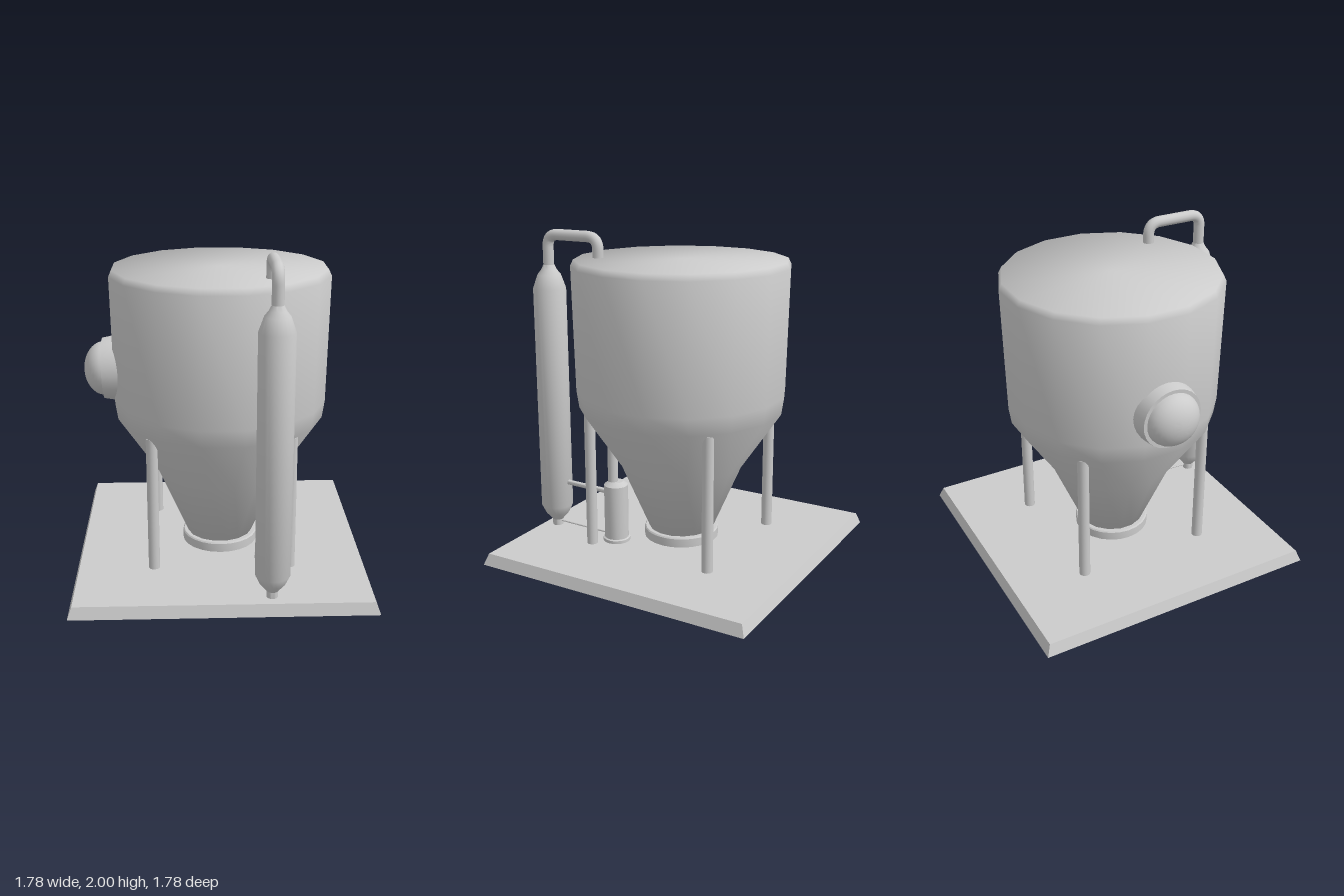
import * as THREE from 'three';
import { toCreasedNormals } from 'three/addons/utils/BufferGeometryUtils.js';

const mat = new THREE.MeshStandardMaterial({ color: 0xcccccc });
const sheetMat = new THREE.MeshStandardMaterial({ color: 0xcccccc, side: THREE.DoubleSide });

export function createModel() {
  const group = new THREE.Group();

  const add = (name, geo, x = 0, y = 0, z = 0, crease = 0.6, material = mat) => {
    const mesh = new THREE.Mesh(toCreasedNormals(geo, crease), material);
    mesh.name = name;
    mesh.position.set(x, y, z);
    group.add(mesh);
    return mesh;
  };
  // Profile is [radius, height] pairs from bottom to top
  const lathe = (profile, sides) =>
    new THREE.LatheGeometry(profile.map(([r, y]) => new THREE.Vector2(r, y)), sides);
  const rod = (name, r, from, to, sides = 16) => {
    const a = new THREE.Vector3(...from), b = new THREE.Vector3(...to);
    const mesh = add(name, new THREE.CylinderGeometry(r, r, a.distanceTo(b), sides));
    mesh.position.copy(a).add(b).multiplyScalar(0.5);
    mesh.quaternion.setFromUnitVectors(new THREE.Vector3(0, 1, 0), b.sub(a).normalize());
    return mesh;
  };

  // Square base: a thin tray, open underneath, with sloping edges
  const tray = lathe([[0.89 * Math.SQRT2, 0], [0.865 * Math.SQRT2, 0.07], [0, 0.07]], 4);
  tray.rotateY(Math.PI / 4);
  add('base', tray, 0, 0, 0, 0.3, sheetMat);

  // Sixteen-sided hopper; widths are measured across the flats
  const k = 1 / Math.cos(Math.PI / 16);
  const hopper = lathe([
    [0, 0.13], [0.2, 0.13], [0.38, 0.56], [0.62, 0.925], [0.635, 1.03],
    [0.65, 1.8], [0.632, 1.837], [0, 1.837],
  ].map(([r, y]) => [r * k, y]), 16);
  hopper.rotateY(Math.PI / 16);
  add('hopper', hopper, 0, 0, 0, 1.25);

  // Outlet collar under the hopper
  add('outletCollar', lathe([
    [0, 0.071], [0.235, 0.071], [0.235, 0.125], [0.228, 0.133], [0, 0.133],
  ], 24));

  // Four legs that run from just under the tray up into the cone
  for (const x of [-0.41, 0.41]) {
    for (const z of [-0.41, 0.41]) rod('leg', 0.034, [x, 0.062, z], [x, 0.908, z]);
  }

  // Tall filter column at the front
  const px = 0.277, pz = 0.779;
  add('filterColumn', lathe([
    [0, 0.071], [0.034, 0.071], [0.034, 0.11], [0.076, 0.16], [0.102, 0.215],
    [0.102, 1.635], [0.072, 1.72], [0.048, 1.75], [0.034, 1.78], [0, 1.78],
  ], 24), px, 0, pz);

  // Pipe that rises from the column and turns down over the lid
  const top = 1.966, end = 0.411, bend = 0.075;
  const v = (y, z) => new THREE.Vector3(px, y, z);
  const path = new THREE.CurvePath();
  path.add(new THREE.LineCurve3(v(1.74, pz), v(top - bend, pz)));
  path.add(new THREE.QuadraticBezierCurve3(v(top - bend, pz), v(top, pz), v(top, pz - bend)));
  path.add(new THREE.LineCurve3(v(top, pz - bend), v(top, end + bend)));
  path.add(new THREE.QuadraticBezierCurve3(v(top, end + bend), v(top, end), v(top - bend, end)));
  path.add(new THREE.LineCurve3(v(top - bend, end), v(1.846, end)));
  add('overheadPipe', new THREE.TubeGeometry(path, 60, 0.034, 14));
  const cap = new THREE.CircleGeometry(0.034, 14);
  cap.rotateX(Math.PI / 2);
  add('pipeEnd', cap, px, 1.846, end);

  // Small pump with a foot flange and an outlet into the cone
  const pumpX = 0.29, pumpZ = 0.306;
  add('pump', lathe([
    [0, 0.071], [0.085, 0.071], [0.085, 0.09], [0.075, 0.095],
    [0.075, 0.44], [0.045, 0.463], [0, 0.463],
  ], 20), pumpX, 0, pumpZ);
  rod('pumpOutlet', 0.032, [0.298, 0.44, 0.322], [0.298, 0.73, 0.322]);

  // Cross pipes between column and pump
  rod('crossPipe', 0.016, [px, 0.38, pz], [pumpX, 0.38, pumpZ], 12);
  rod('drainPipe', 0.006, [px, 0.1, pz], [pumpX, 0.1, pumpZ], 8);

  // Domed hatch on the hopper's right side, tilted with the wall
  const hatch = new THREE.Group();
  hatch.name = 'hatch';
  const ring = add('hatchRing', lathe([
    [0, -0.05], [0.196, -0.05], [0.195, 0.01], [0.185, 0.066], [0, 0.066],
  ], 28));
  const arc = [];
  for (let i = 0; i <= 10; i++) {
    const a = (i / 10) * Math.PI / 2;
    arc.push([i < 10 ? 0.164 * Math.cos(a) : 0, 0.06 + 0.122 * Math.sin(a)]);
  }
  const dome = add('hatchDome', lathe(arc, 28));
  hatch.add(ring, dome);
  hatch.position.set(-0.642, 1.215, 0);
  hatch.rotation.z = Math.PI / 2 + 0.03;
  group.add(hatch);

  return group;
}
